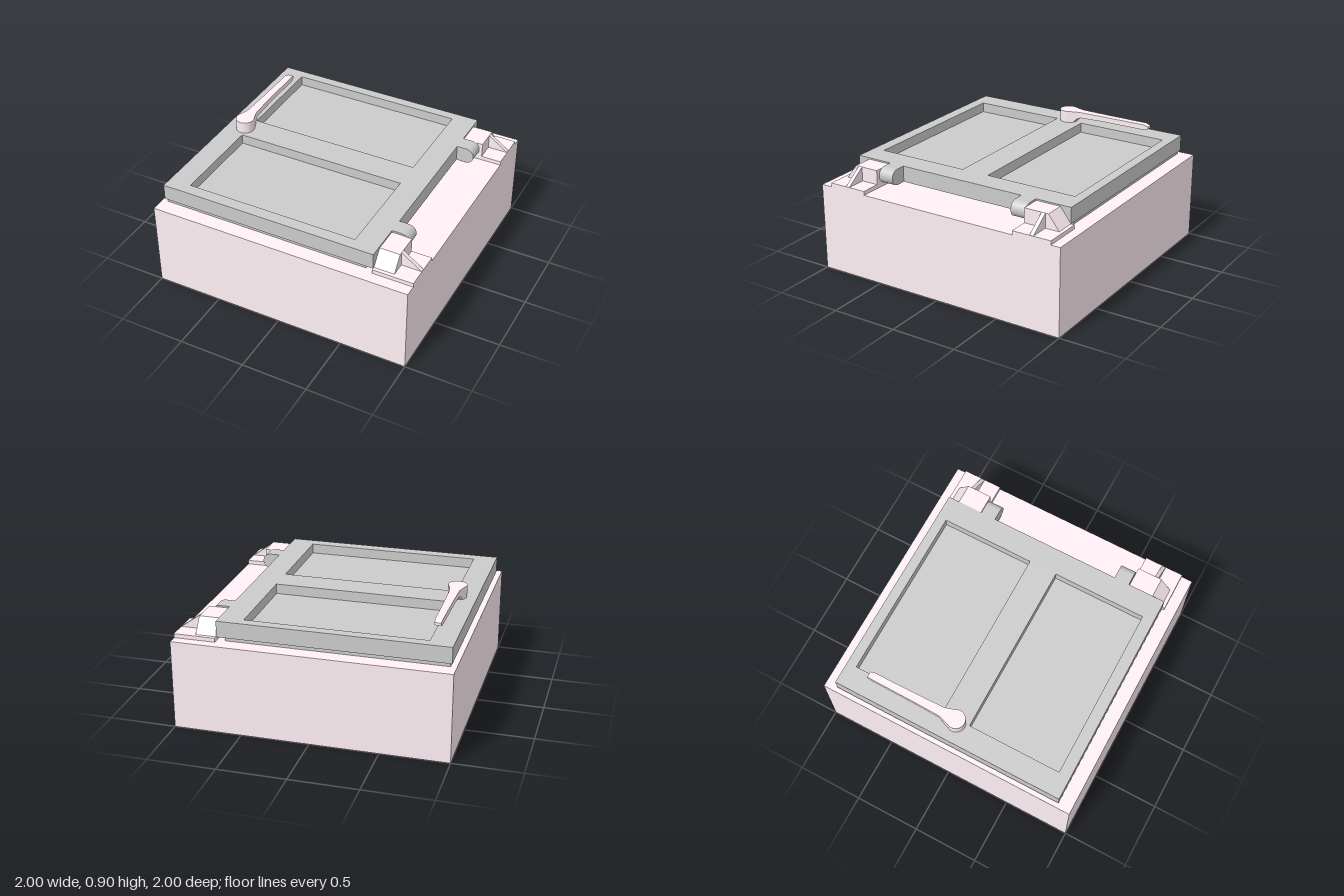
import * as THREE from 'three';

const pink = new THREE.MeshStandardMaterial({ color: 0xfff0f5 });
const grey = new THREE.MeshStandardMaterial({ color: 0xcccccc });

function add(parent, name, geometry, material) {
  const mesh = new THREE.Mesh(geometry, material);
  mesh.name = name;
  parent.add(mesh);
}

function addGroup(parent, name) {
  const group = new THREE.Group();
  group.name = name;
  parent.add(group);
  return group;
}

// Box given by its limits on each axis
function block(x0, x1, y0, y1, z0, z1) {
  return new THREE.BoxGeometry(x1 - x0, y1 - y0, z1 - z0)
    .translate((x0 + x1) / 2, (y0 + y1) / 2, (z0 + z1) / 2);
}

const shapeOf = pts => new THREE.Shape(pts.map(p => new THREE.Vector2(...p)));

// Counter-clockwise rectangle, so that openings get inward-facing walls
const rect = ([x0, x1, z0, z1]) => shapeOf([[x0, -z1], [x1, -z1], [x1, -z0], [x0, -z0]]);

// Horizontal slab with rectangular openings
function frame(outer, holes, y0, y1) {
  const shape = rect(outer);
  shape.holes.push(...holes.map(rect));
  return new THREE.ExtrudeGeometry(shape, { depth: y1 - y0, bevelEnabled: false })
    .rotateX(-Math.PI / 2).translate(0, y0, 0);
}

// Profile in x,y extruded along z
function alongZ(shape, z0, z1) {
  return new THREE.ExtrudeGeometry(shape, { depth: z1 - z0, bevelEnabled: false, curveSegments: 16 })
    .translate(0, 0, z0);
}

// Profile in z,y extruded along x
function alongX(shape, x0, x1) {
  return new THREE.ExtrudeGeometry(shape, { depth: x1 - x0, bevelEnabled: false })
    .rotateY(-Math.PI / 2).translate(x1, 0, 0);
}

// Lever arm lofted through rectangular sections [z, half width, bottom, top]
function armGeometry() {
  const sections = [
    [-0.03, 0.062, 0, 0.09], [-0.06, 0.052, 0, 0.09], [-0.09, 0.042, 0.03, 0.09],
    [-0.12, 0.036, 0.045, 0.09], [-0.3, 0.031, 0.05, 0.09], [-0.67, 0.027, 0.05, 0.09],
    [-0.705, 0.023, 0.058, 0.077],
  ];
  const pos = [];
  const corners = ([z, w, b, t]) => [[-w, b, z], [w, b, z], [w, t, z], [-w, t, z]];
  const quad = (a, b, c, d) => pos.push(...a, ...b, ...c, ...a, ...c, ...d);
  for (let i = 0; i < sections.length - 1; i++) {
    const p = corners(sections[i]), q = corners(sections[i + 1]);
    for (let k = 0; k < 4; k++) {
      const n = (k + 1) % 4;
      quad(p[k], q[k], q[n], p[n]);
    }
  }
  quad(...corners(sections[0]));
  quad(...corners(sections[sections.length - 1]).reverse());
  const g = new THREE.BufferGeometry();
  g.setAttribute('position', new THREE.Float32BufferAttribute(pos, 3));
  g.computeVertexNormals();
  return g;
}

export function createModel() {
  const model = new THREE.Group();
  model.name = 'hatch';

  // Square coaming with an open shaft
  add(model, 'coaming', frame([-1, 1, -1, 1], [[-0.85, 0.61, -0.8, 0.8]], 0, 0.662), pink);

  // Lid: seal, frame with two recessed panels
  const lid = addGroup(model, 'lid');
  const recesses = [[-0.8, 0.515, -0.826, -0.116], [-0.8, 0.515, 0.1, 0.81]];
  add(lid, 'seal', block(-0.956, 0.635, 0.662, 0.69, -0.885, 0.885), grey);
  add(lid, 'lidFrame', frame([-0.97, 0.695, -0.9, 0.898], recesses, 0.69, 0.81), grey);
  for (const [x0, x1, z0, z1] of recesses) {
    add(lid, 'recessedPanel', block(x0, x1, 0.69, 0.735, z0, z1), grey);
  }

  // Rounded hinge lugs on the lid edge
  const lug = new THREE.Shape();
  lug.moveTo(0.69, 0.69);
  lug.lineTo(0.767, 0.69);
  lug.absarc(0.767, 0.75, 0.06, -Math.PI / 2, Math.PI / 2, false);
  lug.lineTo(0.69, 0.81);
  lug.closePath();

  // Hinge brackets, mirrored about the lid's middle
  for (const side of [1, -1]) {
    const Z = d => -0.007 + side * d;
    const span = (a, b) => [Math.min(Z(a), Z(b)), Math.max(Z(a), Z(b))];
    add(lid, 'hingeLug', alongZ(lug, ...span(0.5, 0.617)), grey);

    const bracket = addGroup(model, 'hingeBracket');
    add(bracket, 'hingePlate', block(0.696, 1, 0.66, 0.692, ...span(0.622, 0.921)), pink);
    const cheek = shapeOf([[Z(0.622), 0.69], [Z(0.895), 0.69], [Z(0.81), 0.8], [Z(0.622), 0.8]]);
    add(bracket, 'hingeBlock', alongX(cheek, 0.696, 0.848), pink);
    const rib = shapeOf([[0.848, 0.69], [1, 0.69], [0.848, 0.8]]);
    add(bracket, 'hingeRib', alongZ(rib, ...span(0.756, 0.786)), pink);
  }

  // Lever handle on top, with a spindle through the lid to a short dog below
  const handle = addGroup(model, 'handle');
  handle.position.set(-0.825, 0.81, 0.007);
  add(handle, 'handleHub', new THREE.CylinderGeometry(0.07, 0.07, 0.09, 32).translate(0, 0.045, 0), pink);
  add(handle, 'handleArm', armGeometry(), pink);
  add(handle, 'spindle', new THREE.CylinderGeometry(0.024, 0.024, 0.24, 24).translate(0, -0.12, 0), pink);
  add(handle, 'lockingDog', block(-0.025, 0.09, -0.26, -0.2, -0.025, 0.105), pink);

  return model;
}
